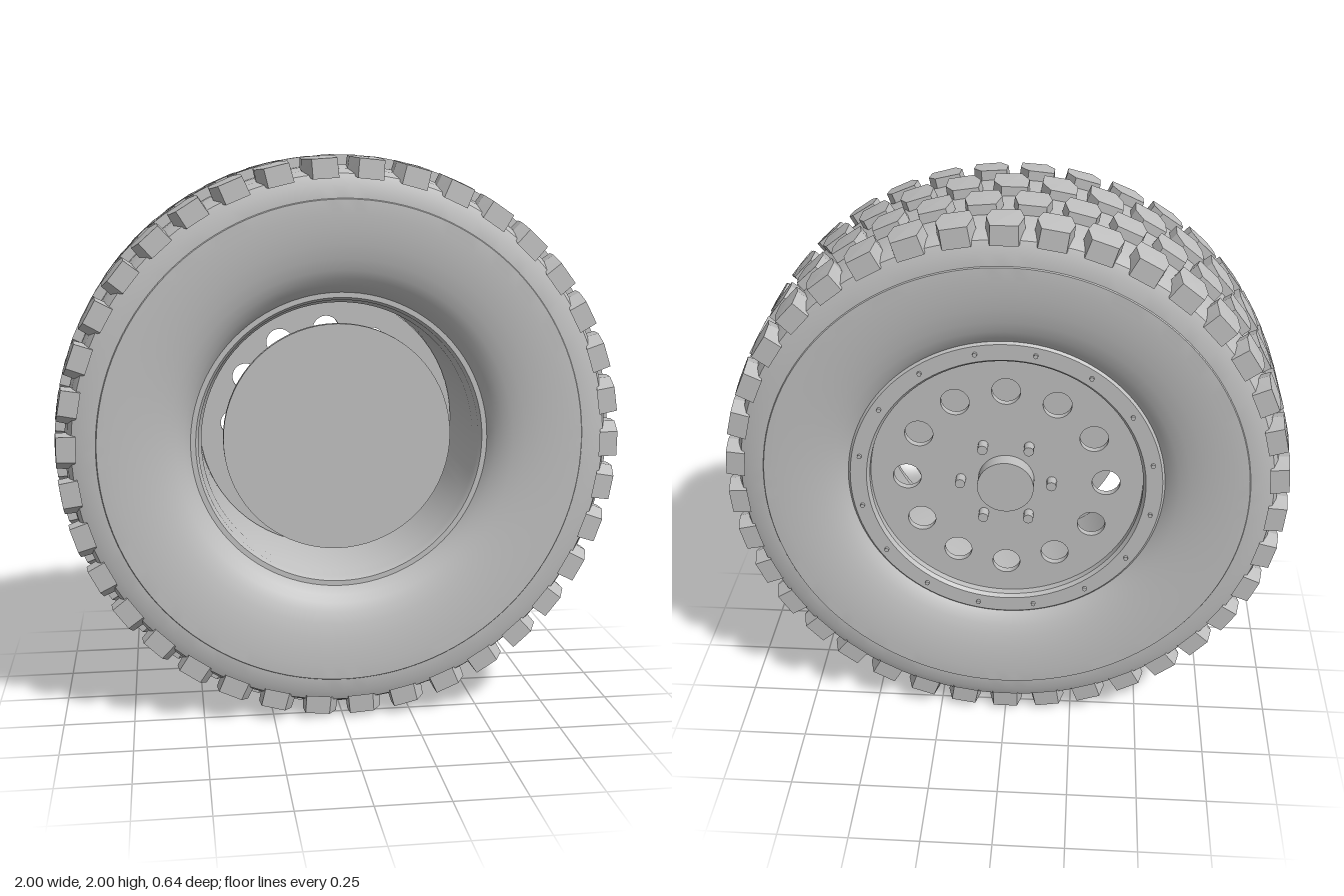
import * as THREE from 'three';
import { toCreasedNormals } from 'three/addons/utils/BufferGeometryUtils.js';

const rubber = new THREE.MeshStandardMaterial({ color: 0xbfbfbf, side: THREE.DoubleSide });
rubber.name = 'plain grey';

// Everything is built around the z axis and lifted by 1 at the end.
function addMesh(parent, name, geometry) {
  const mesh = new THREE.Mesh(geometry, rubber);
  mesh.name = name;
  parent.add(mesh);
  return mesh;
}

// Revolve [radius, z] points around z.
function revolve(points, segments = 96) {
  const geo = new THREE.LatheGeometry(points.map(([r, z]) => new THREE.Vector2(r, z)), segments);
  geo.rotateX(Math.PI / 2);
  return toCreasedNormals(geo, 0.55);
}

// Solid disc or peg between two z positions.
function peg(radius, z0, z1, x = 0, y = 0, sides = 16) {
  const geo = new THREE.CylinderGeometry(radius, radius, z1 - z0, sides);
  geo.rotateX(Math.PI / 2);
  geo.translate(x, y, (z0 + z1) / 2);
  return geo;
}

// Ring of tread blocks: outline is [z, arc] corners, counter-clockwise seen from outside.
function treadRow(outline, zMid, phase, count) {
  const pos = [];
  const crown = z => 1 - 0.16 * Math.max(0, Math.abs(z) - 0.16) ** 1.3;
  const n = outline.length;
  for (let i = 0; i < count; i++) {
    const mid = ((i + phase) / count) * Math.PI * 2;
    const point = (z, arc, r) => {
      const a = mid + arc;
      return [r * Math.cos(a), r * Math.sin(a), z];
    };
    const top = outline.map(([z, a]) => point(zMid + z, a, crown(zMid + z)));
    const foot = outline.map(([z, a]) => {
      const shoulder = Math.abs(zMid + z) > 0.28;
      return point(zMid + z * 1.06, a * 1.1, shoulder ? 0.92 : 0.945);
    });
    const centre = point(zMid, 0, crown(zMid));
    for (let k = 0; k < n; k++) {
      const m = (k + 1) % n;
      pos.push(...centre, ...top[k], ...top[m]);
      pos.push(...top[k], ...foot[k], ...foot[m], ...top[k], ...foot[m], ...top[m]);
    }
  }
  const geo = new THREE.BufferGeometry();
  geo.setAttribute('position', new THREE.Float32BufferAttribute(pos, 3));
  geo.computeVertexNormals();
  return geo;
}

export function createModel() {
  const model = new THREE.Group();
  model.name = 'wheel';
  const wheel = new THREE.Group();
  wheel.name = 'wheelAssembly';
  wheel.position.y = 1;
  model.add(wheel);

  // Tyre carcass: half section from the crown to the bead, mirrored
  const half = [
    [0.968, 0.1], [0.964, 0.19], [0.952, 0.26], [0.935, 0.295], [0.9, 0.309], [0.853, 0.314],
    [0.85, 0.319], [0.8, 0.319], [0.75, 0.316], [0.7, 0.31], [0.65, 0.3], [0.61, 0.287],
    [0.58, 0.272], [0.555, 0.252], [0.535, 0.23], [0.522, 0.205],
  ];
  const back = half.map(([r, z]) => [r, -z]).reverse();
  addMesh(wheel, 'tyre', revolve([...back, ...half], 128));

  // Four rows of staggered tread blocks
  const cutBlock = w => [
    [w, -0.058], [w, 0.03], [0.01, 0.06], [-w, 0.058], [-w, -0.03], [-0.01, -0.06],
  ];
  const hexBlock = w => [
    [w, -0.046], [w, 0.046], [0.005, 0.062], [-w, 0.046], [-w, -0.046], [0.005, -0.062],
  ];
  const rows = [
    ['frontShoulderBlocks', cutBlock(0.058), 0.25, 0],
    ['frontCentreBlocks', cutBlock(0.068), 0.085, 0.5],
    ['backCentreBlocks', hexBlock(0.067), -0.083, 0],
    ['backShoulderBlocks', hexBlock(0.058), -0.248, 0.5],
  ];
  for (const [name, outline, z, phase] of rows) {
    addMesh(wheel, name, treadRow(outline, z, phase, 38));
  }

  // Rim barrel, open at the front
  addMesh(wheel, 'rimBarrel', revolve([
    [0.49, -0.23], [0.49, 0.16], [0.502, 0.185], [0.502, 0.205], [0.512, 0.222], [0.53, 0.222],
  ]));

  // Clamp ring on the back face with its small bolts
  addMesh(wheel, 'clampRing', revolve([
    [0.485, -0.21], [0.485, -0.252], [0.495, -0.265], [0.553, -0.265], [0.563, -0.255], [0.563, -0.23],
  ].reverse()));
  const boltCount = 16;
  for (let i = 0; i < boltCount; i++) {
    const a = ((i + 0.5) / boltCount) * Math.PI * 2;
    addMesh(wheel, 'ringBolt', peg(0.008, -0.275, -0.26, 0.525 * Math.cos(a), 0.525 * Math.sin(a), 8));
  }

  // Wheel disc with twelve round holes
  const face = new THREE.Shape().absarc(0, 0, 0.488, 0, Math.PI * 2, false);
  for (let i = 0; i < 12; i++) {
    const a = (i / 12) * Math.PI * 2;
    face.holes.push(new THREE.Path().absarc(0.355 * Math.cos(a), 0.355 * Math.sin(a), 0.05, 0, Math.PI * 2, true));
  }
  const disc = new THREE.ExtrudeGeometry(face, { depth: 0.025, bevelEnabled: false, curveSegments: 32 });
  disc.translate(0, 0, -0.225);
  addMesh(wheel, 'wheelDisc', toCreasedNormals(disc, 0.55));

  // Hub cap and six wheel studs
  addMesh(wheel, 'hubCap', peg(0.1, -0.28, -0.21, 0, 0, 48));
  for (let i = 0; i < 6; i++) {
    const a = (i / 6) * Math.PI * 2;
    addMesh(wheel, 'wheelStud', peg(0.018, -0.265, -0.21, 0.162 * Math.cos(a), 0.162 * Math.sin(a), 12));
  }

  // Brake disc carried on the axle inside the barrel
  addMesh(wheel, 'axle', peg(0.1, -0.21, 0.13, 0, 0, 32));
  addMesh(wheel, 'brakeDisc', peg(0.412, 0.12, 0.145, 0, 0, 72));

  return model;
}
